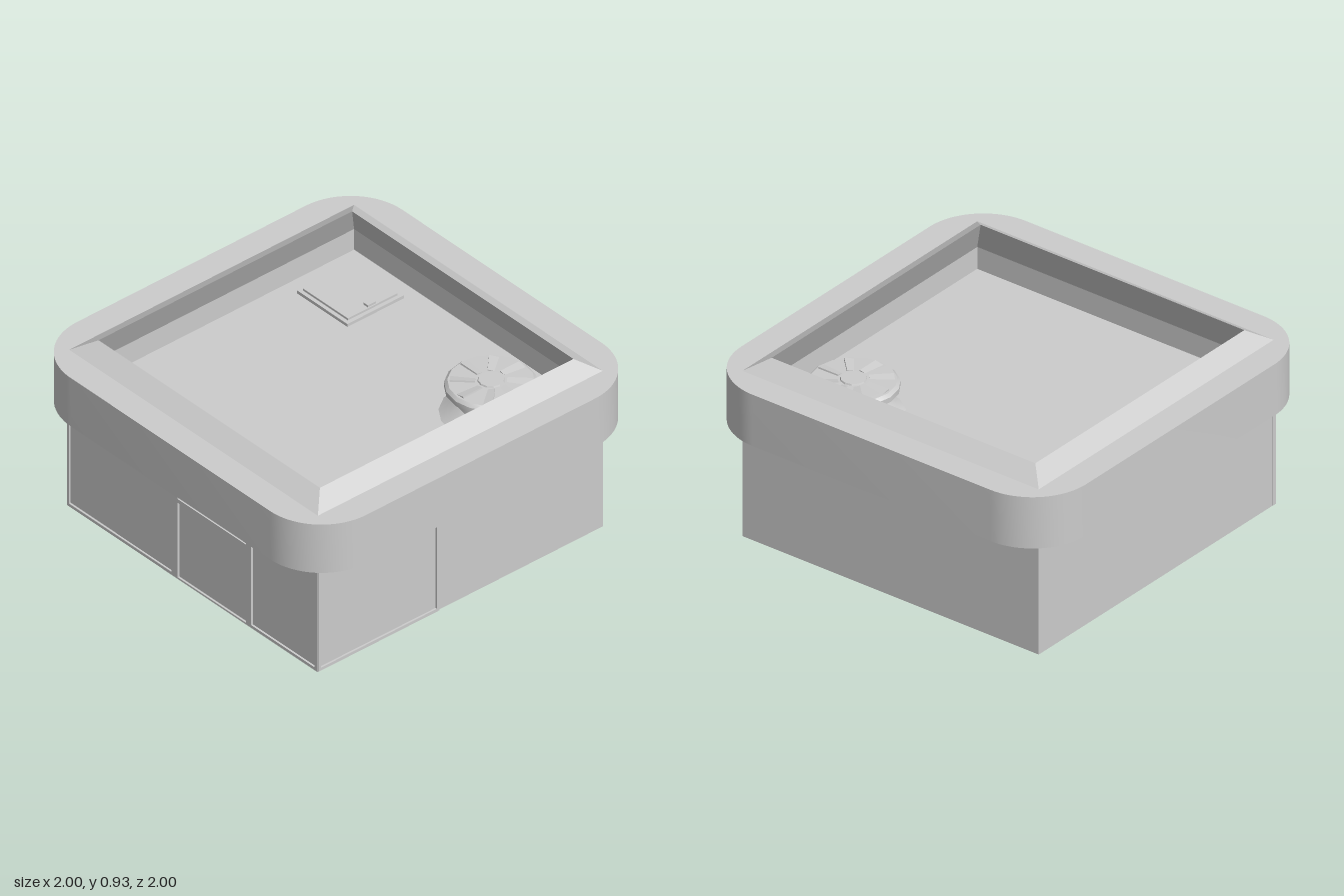
import * as THREE from 'three';
import { toCreasedNormals } from 'three/addons/utils/BufferGeometryUtils.js';

const smooth = new THREE.MeshStandardMaterial({ color: 0xcccccc });
const flat = new THREE.MeshStandardMaterial({ color: 0xcccccc, flatShading: true });

function add(parent, name, geometry, x = 0, y = 0, z = 0, material = flat) {
  const mesh = new THREE.Mesh(geometry, material);
  mesh.name = name;
  mesh.position.set(x, y, z);
  parent.add(mesh);
  return mesh;
}

const box = (w, h, d) => new THREE.BoxGeometry(w, h, d);

// Path of a rectangle given by its edges
function rect(path, x0, y0, x1, y1) {
  path.moveTo(x0, y0);
  path.lineTo(x1, y0);
  path.lineTo(x1, y1);
  path.lineTo(x0, y1);
  path.closePath();
  return path;
}

// Thin wall frame with rectangular openings
function frame(outer, openings, depth) {
  const shape = rect(new THREE.Shape(), ...outer);
  for (const o of openings) shape.holes.push(rect(new THREE.Path(), ...o));
  return new THREE.ExtrudeGeometry(shape, { depth, bevelEnabled: false });
}

// Rounded-square canopy ring around the roof
function canopyGeometry() {
  const s = 1, r = 0.31;
  const shape = new THREE.Shape();
  shape.moveTo(-s + r, -s);
  shape.absarc(s - r, -s + r, r, -Math.PI / 2, 0);
  shape.absarc(s - r, s - r, r, 0, Math.PI / 2);
  shape.absarc(-s + r, s - r, r, Math.PI / 2, Math.PI);
  shape.absarc(-s + r, -s + r, r, Math.PI, Math.PI * 1.5);
  shape.holes.push(rect(new THREE.Path(), -0.86, -0.86, 0.86, 0.86));
  const g = new THREE.ExtrudeGeometry(shape, { depth: 0.27, bevelEnabled: false, curveSegments: 10 });
  g.rotateX(-Math.PI / 2);
  return toCreasedNormals(g, 0.6);
}

// Square ring swept from a profile of [half width, height]
function squareRing(profile) {
  const pts = profile.map(([w, y]) => new THREE.Vector2(w * Math.SQRT2, y));
  return new THREE.LatheGeometry(pts, 4, Math.PI / 4);
}

// Round roof fan with a flared foot and a bladed cap
function roofVent() {
  const g = new THREE.Group();
  g.name = 'roofVent';
  const lathe = (pts) => toCreasedNormals(
    new THREE.LatheGeometry(pts.map(([x, y]) => new THREE.Vector2(x, y)), 16), 0.5);
  add(g, 'ventFoot', lathe([[0.24, 0], [0.2, 0.025], [0.16, 0.06], [0.15, 0.13]]), 0, 0, 0, smooth);
  add(g, 'ventCap', lathe([[0, 0.12], [0.2, 0.12], [0.215, 0.13], [0.215, 0.155], [0.2, 0.17], [0, 0.175]]), 0, 0, 0, smooth);
  for (let i = 0; i < 8; i++) {
    const spoke = new THREE.Group();
    spoke.name = 'ventBlade';
    spoke.rotation.y = (i / 8) * Math.PI * 2;
    add(spoke, 'blade', box(0.115, 0.008, 0.045), 0.13, 0.171, 0).rotation.x = 0.2;
    g.add(spoke);
  }
  add(g, 'ventHub', new THREE.CylinderGeometry(0.06, 0.065, 0.012, 12), 0, 0.175, 0);
  g.position.set(0.5, 0.62, -0.5);
  return g;
}

// Roof access hatch with a small handle
function roofHatch() {
  const g = new THREE.Group();
  g.name = 'roofHatch';
  add(g, 'hatchBase', box(0.35, 0.016, 0.34), 0, 0.008, 0);
  add(g, 'hatchLid', box(0.31, 0.014, 0.3), 0, 0.02, 0);
  add(g, 'hatchHandle', box(0.03, 0.014, 0.05), 0.135, 0.032, 0);
  g.position.set(-0.6, 0.62, -0.61);
  return g;
}

export function createModel() {
  const model = new THREE.Group();
  model.name = 'shopBuilding';

  // Walls, with the roof deck as their top
  add(model, 'walls', box(1.72, 0.62, 1.72), 0, 0.31, 0);

  // Shop front: two display windows, a door and its transom
  add(model, 'frontFrame', frame([-0.865, 0.004, 0.868, 0.6], [
    [-0.85, 0.02, -0.14, 0.583],
    [-0.098, 0.013, 0.375, 0.43],
    [-0.098, 0.45, 0.375, 0.542],
    [0.41, 0.02, 0.848, 0.583],
  ], 0.02), 0, 0, 0.85);

  // Side window, near the front corner
  const side = add(model, 'sideWindowFrame',
    frame([-0.865, 0.004, -0.135, 0.6], [[-0.85, 0.02, -0.15, 0.583]], 0.02), 0.85, 0, 0);
  side.rotation.y = Math.PI / 2;

  // Canopy and the pointed parapet lip on its inner edge
  add(model, 'canopy', canopyGeometry(), 0, 0.6, 0, smooth);
  add(model, 'parapetLip', squareRing([[0.86, 0.87], [0.765, 0.93], [0.86, 0.735]]));

  model.add(roofVent(), roofHatch());
  return model;
}
